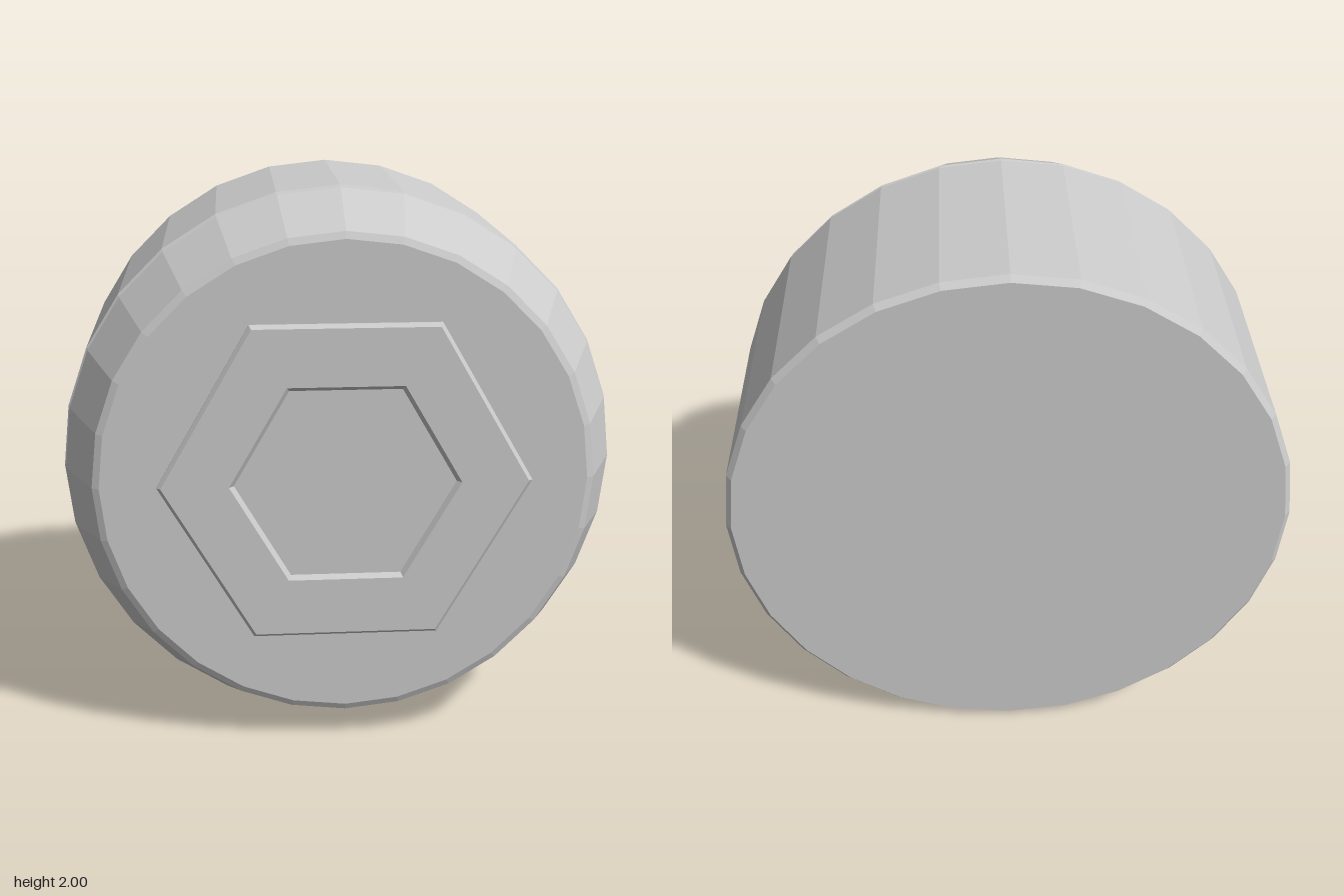
import * as THREE from 'three';

const material = new THREE.MeshStandardMaterial({ color: 0xcccccc, flatShading: true });

// Turned part: profile of [radius, z] pairs, revolved about the z axis
function turned(name, profile, sides, start = 0) {
  const points = profile.map(([r, z]) => new THREE.Vector2(r, z));
  const geometry = new THREE.LatheGeometry(points, sides, start);
  geometry.rotateX(Math.PI / 2);
  const mesh = new THREE.Mesh(geometry, material);
  mesh.name = name;
  mesh.position.y = 1;
  return mesh;
}

export function createModel() {
  const group = new THREE.Group();
  group.name = 'cap';

  // Drum with bevelled back rim, narrow groove and tapered front
  group.add(turned('body', [
    [0, -0.56], [0.98, -0.56], [1, -0.54],
    [1, 0.255], [0.98, 0.272], [0.993, 0.285],
    [0.88, 0.528], [0.855, 0.54], [0, 0.54],
  ], 28));

  // Raised hexagon with bevelled rim and hexagonal recess
  group.add(turned('hexPlate', [
    [0.658, 0.535], [0.658, 0.545], [0.643, 0.56],
    [0.407, 0.56], [0.39, 0.542], [0, 0.542],
  ], 6, Math.PI / 2));

  return group;
}
